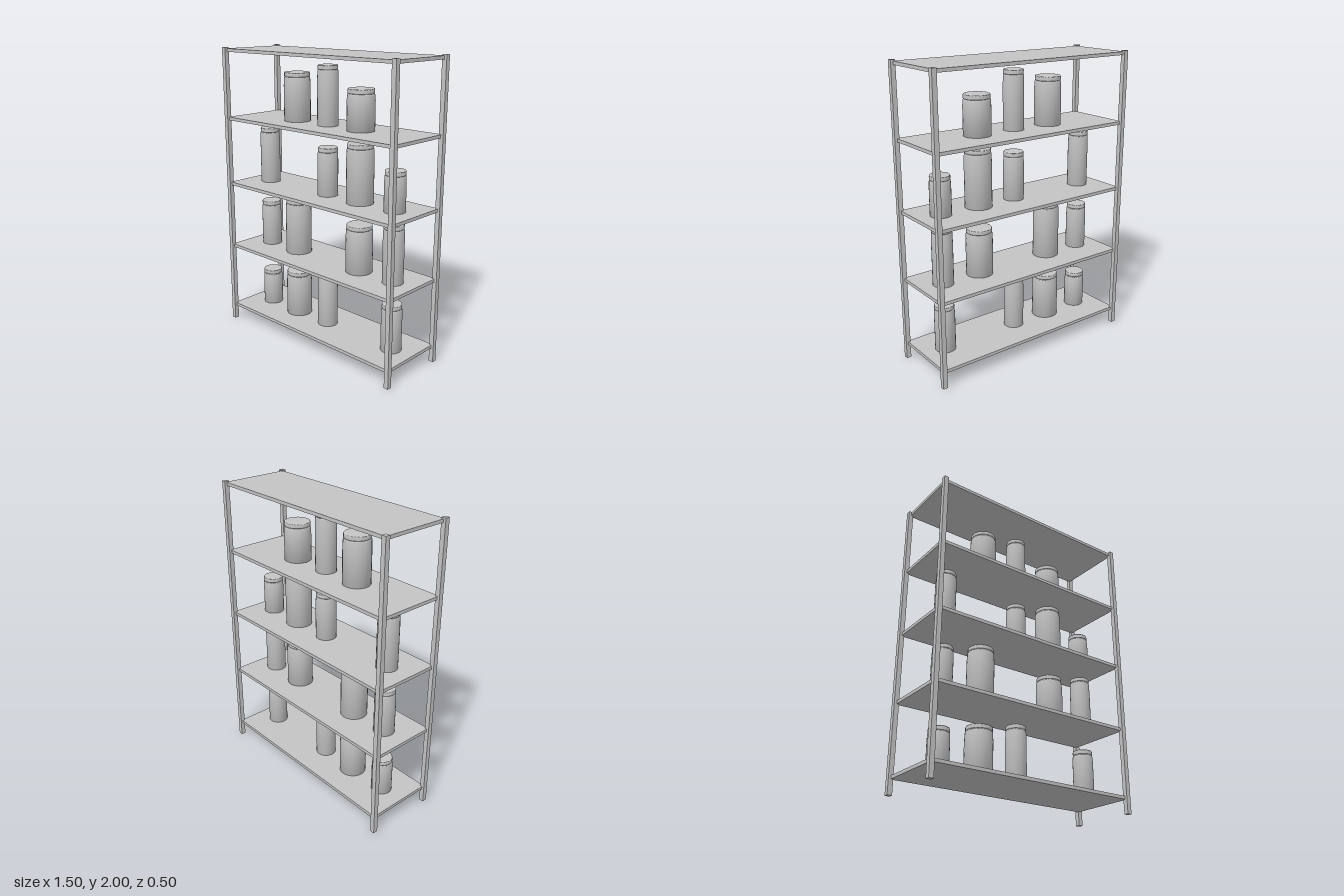
import * as THREE from 'three';

export function createModel() {
  const model = new THREE.Group();
  model.name = 'shelfWithJars';
  const grey = new THREE.MeshStandardMaterial({ color: 0xc4c4c4 });
  grey.name = 'plainGrey';

  const add = (geometry, name, x, y, z, parent = model) => {
    const mesh = new THREE.Mesh(geometry, grey);
    mesh.name = name;
    mesh.position.set(x, y, z);
    parent.add(mesh);
  };

  // Four square corner posts
  const post = new THREE.BoxGeometry(0.032, 2, 0.032);
  for (const x of [-1, 1]) {
    for (const z of [-1, 1]) add(post, 'cornerPost', x * 0.736, 1, z * 0.236);
  }

  // Five evenly spaced shelf boards
  const thickness = 0.022;
  const shelfTop = (i) => 0.118 + i * 0.4685;
  const board = new THREE.BoxGeometry(1.47, thickness, 0.47);
  for (let i = 0; i < 5; i++) add(board, 'shelf', 0, shelfTop(i) - thickness / 2, 0);

  const lathe = (points) =>
    new THREE.LatheGeometry(points.map(([x, y]) => new THREE.Vector2(x, y)), 24);

  // Jar: softly shouldered body with a slightly narrower lid
  function addJar(x, y, r, h) {
    const jar = new THREE.Group();
    jar.name = 'jar';
    jar.position.set(x, y, 0.004);
    const body = h - 0.03;
    add(lathe([
      [0, 0], [r, 0], [r, body * 0.8], [r * 0.97, body - 0.008],
      [r * 0.93, body], [0, body],
    ]), 'jarBody', 0, 0, 0, jar);
    add(lathe([
      [0, 0], [r * 0.93, 0], [r * 0.95, 0.004], [r * 0.95, 0.024],
      [r * 0.92, 0.03], [0, 0.03],
    ]), 'jarLid', 0, body, 0, jar);
    model.add(jar);
  }

  // Jar heights per shelf, bottom to top; 0 leaves a gap
  const S = 0.262, M = 0.325, L = 0.389;
  const rows = [
    [S, M, L, 0, M],
    [M, L, 0, M, L],
    [L, 0, M, L, S],
    [0, M, L, S, 0],
  ];
  rows.forEach((row, i) => row.forEach((h, j) => {
    if (h) addJar(-0.56 + j * 0.2835, shelfTop(i), j % 2 ? 0.09 : 0.069, h);
  }));

  return model;
}
